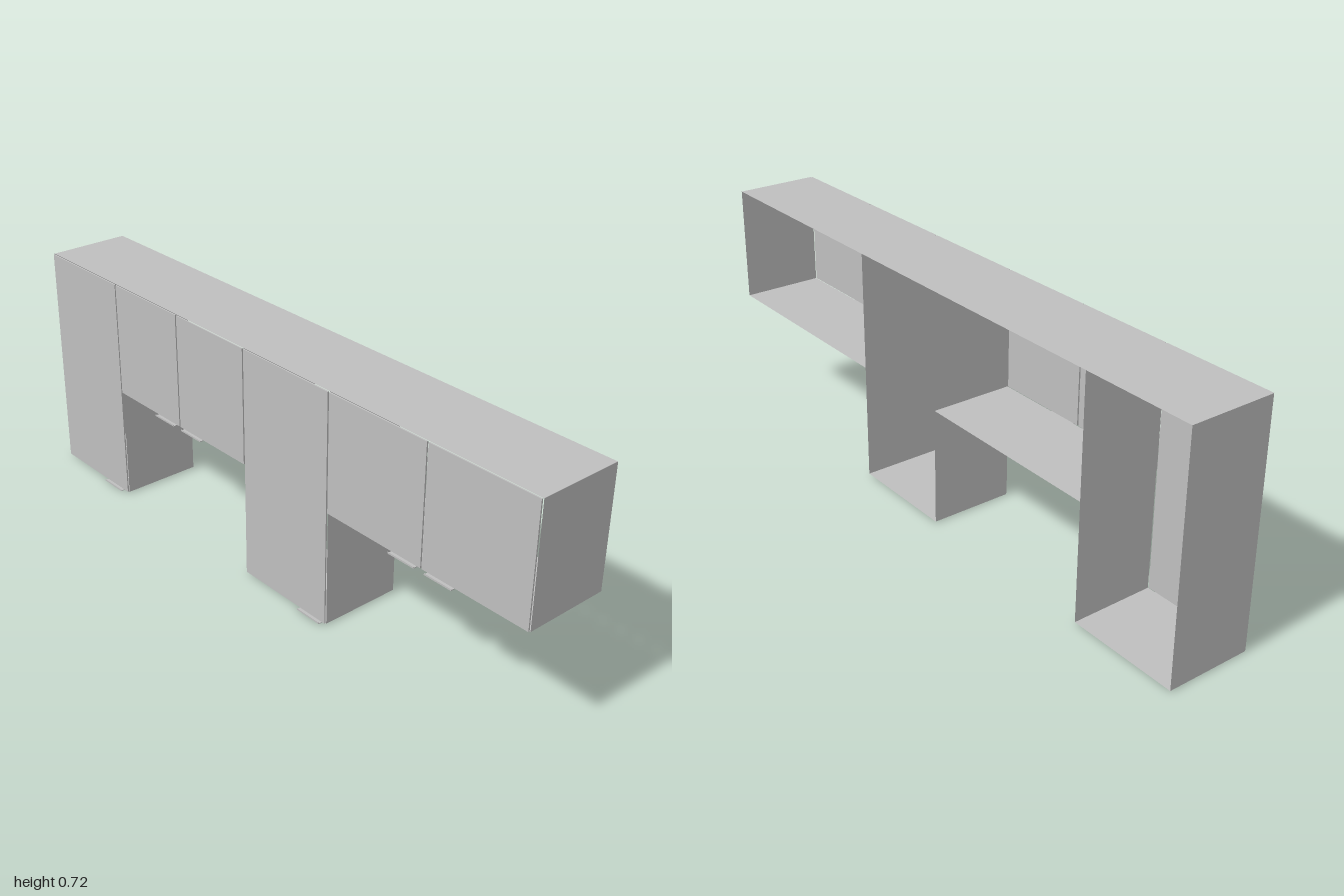
import * as THREE from 'three';

const BACK = -0.135, FRONT = 0.122, TOP = 0.718, DOOR = 0.005;

export function createModel() {
  const model = new THREE.Group();
  model.name = 'wallCabinets';
  const grey = new THREE.MeshStandardMaterial({ color: 0xbfbfbf, side: THREE.DoubleSide });
  grey.name = 'cabinetGrey';

  // solid box given by its min and max corners
  function box(parent, name, x0, x1, y0, y1, z0, z1) {
    const mesh = new THREE.Mesh(new THREE.BoxGeometry(x1 - x0, y1 - y0, z1 - z0), grey);
    mesh.position.set((x0 + x1) / 2, (y0 + y1) / 2, (z0 + z1) / 2);
    mesh.name = name;
    parent.add(mesh);
  }

  // thin sheet, either level (shelf-like) or upright (side wall)
  function sheet(parent, name, w, h, x, y, level) {
    const mesh = new THREE.Mesh(new THREE.PlaneGeometry(w, h), grey);
    if (level) mesh.rotation.x = -Math.PI / 2;
    else mesh.rotation.y = Math.PI / 2;
    mesh.position.set(x, y, (BACK + FRONT) / 2);
    mesh.name = name;
    parent.add(mesh);
  }

  // open-backed cabinet with doors and edge pulls
  function cabinet(name, x0, x1, y0, doors, handles) {
    const unit = new THREE.Group();
    unit.name = name;
    const depth = FRONT - BACK, mid = (x0 + x1) / 2, h = TOP - y0;
    sheet(unit, 'topPanel', x1 - x0, depth, mid, TOP, true);
    sheet(unit, 'bottomPanel', x1 - x0, depth, mid, y0, true);
    sheet(unit, 'rightPanel', depth, h, x0, y0 + h / 2, false);
    sheet(unit, 'leftPanel', depth, h, x1, y0 + h / 2, false);

    const w = (x1 - x0) / doors, gap = 0.0025;
    for (let i = 0; i < doors; i++) {
      const a = x0 + i * w;
      box(unit, 'door', a + gap, a + w - gap, y0 + 0.001, TOP - 0.001, FRONT + 0.0005, FRONT + DOOR);
    }
    // pull: a flat tab under the door with a small front lip
    for (const x of handles) {
      box(unit, 'handleTab', x - 0.046, x + 0.046, y0 - 0.003, y0 - 0.001, FRONT, 0.137);
      box(unit, 'handleLip', x - 0.046, x + 0.046, y0 - 0.003, y0 + 0.002, 0.1355, 0.137);
    }
    model.add(unit);
  }

  cabinet('tallCabinetRight', -1, -0.655, 0.003, 1, [-0.727]);
  cabinet('wideCabinetRight', -0.655, -0.047, 0.361, 2, [-0.415, -0.287]);
  cabinet('tallCabinetLeft', -0.047, 0.3, 0.003, 1, [0.239]);
  cabinet('wideCabinetLeft', 0.3, 1, 0.361, 2, [0.588, 0.716]);
  return model;
}
